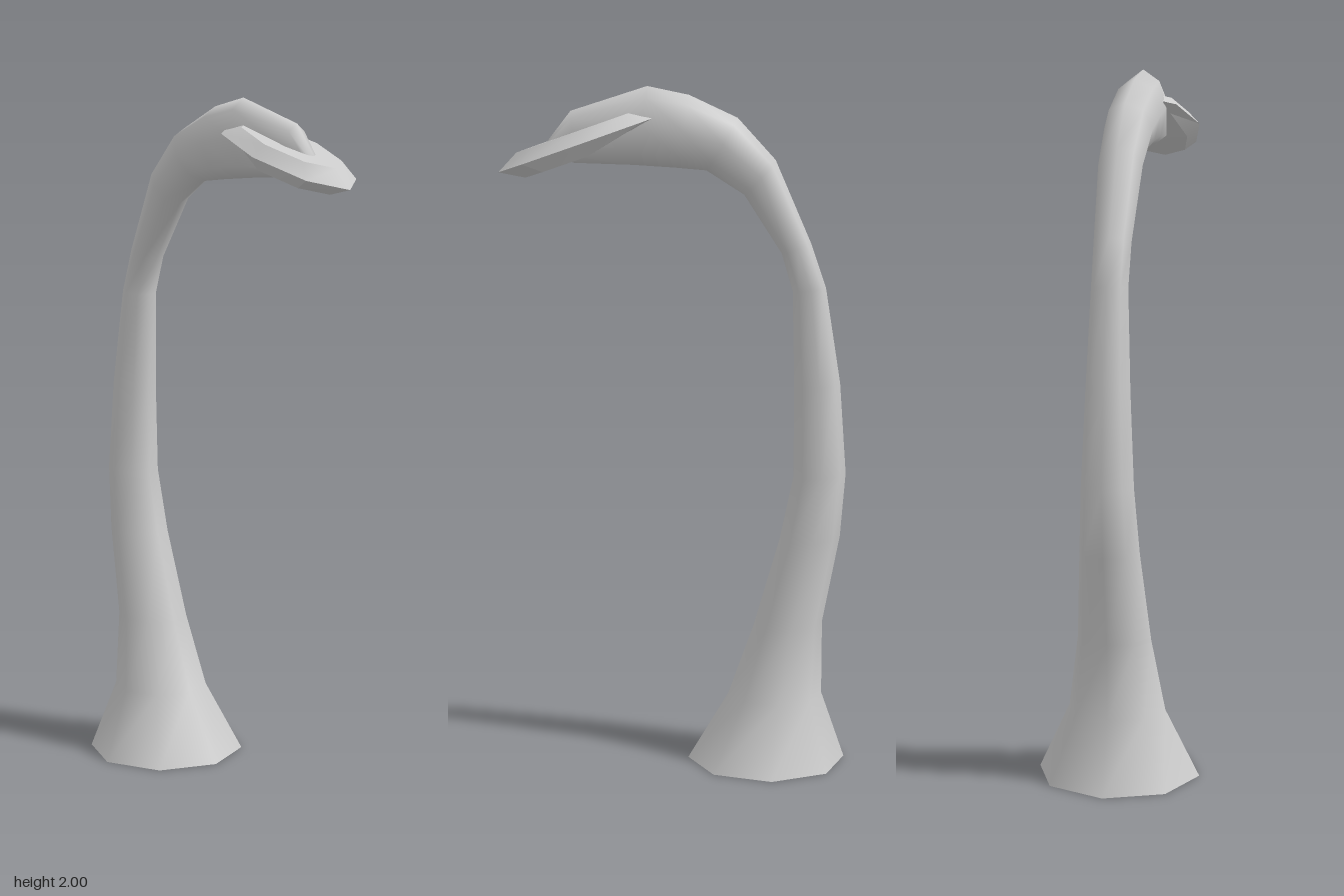
import * as THREE from 'three';
import { toCreasedNormals } from 'three/addons/utils/BufferGeometryUtils.js';

const SIDES = 8;

// Joins closed rings of points; caps close the first and last ring
function loft(rings, capStart, capEnd) {
  const pos = [], index = [];
  rings.forEach(ring => ring.forEach(p => pos.push(p.x, p.y, p.z)));
  for (let i = 0; i < rings.length - 1; i++) {
    for (let j = 0; j < SIDES; j++) {
      const k = (j + 1) % SIDES;
      const a = i * SIDES + j, b = i * SIDES + k;
      index.push(a, b, b + SIDES, a, b + SIDES, a + SIDES);
    }
  }
  const last = (rings.length - 1) * SIDES;
  for (let j = 1; j < SIDES - 1; j++) {
    if (capStart) index.push(0, j + 1, j);
    if (capEnd) index.push(last, last + j, last + j + 1);
  }
  const geo = new THREE.BufferGeometry();
  geo.setAttribute('position', new THREE.Float32BufferAttribute(pos, 3));
  geo.setIndex(index);
  geo.computeVertexNormals();
  return geo;
}

function makeRing(fn) {
  return Array.from({ length: SIDES }, (_, j) => fn(j / SIDES * Math.PI * 2));
}

export function createModel() {
  const group = new THREE.Group();
  const material = new THREE.MeshStandardMaterial({ color: 0xcccccc, side: THREE.DoubleSide });

  // Neck and head sections: back x, y, throat x, y, half width
  const sections = [
    [-0.51, 0, -0.04, 0, 0.235],
    [-0.44, 0.2, -0.16, 0.2, 0.14],
    [-0.44, 0.42, -0.235, 0.41, 0.106],
    [-0.49, 0.68, -0.31, 0.67, 0.086],
    [-0.505, 0.87, -0.35, 0.86, 0.075],
    [-0.485, 1.14, -0.35, 1.13, 0.063],
    [-0.44, 1.42, -0.343, 1.41, 0.052],
    [-0.395, 1.55, -0.31, 1.52, 0.053],
    [-0.29, 1.79, -0.2, 1.69, 0.063],
    [-0.18, 1.91, -0.09, 1.76, 0.07],
    [-0.04, 1.975, 0.0, 1.768, 0.071],
    [0.08, 2.0, 0.12, 1.776, 0.065],
    [0.3, 1.93, 0.29, 1.782, 0.042],
    [0.37, 1.84, 0.355, 1.80, 0.02],
  ];
  const neckRings = sections.map(([ax, ay, bx, by, w]) => makeRing(t => {
    const c = Math.cos(t) / 2;
    return new THREE.Vector3(
      (ax + bx) / 2 + c * (ax - bx),
      (ay + by) / 2 + c * (ay - by),
      Math.sin(t) * w);
  }));
  const neck = new THREE.Mesh(loft(neckRings, false, true), material);
  neck.name = 'neckAndHead';
  group.add(neck);

  // Flat bevelled bill: length radius, width radius, front and rear height
  const billLayers = [
    [0.19, 0.1, -0.04, -0.012],
    [0.258, 0.135, 0, 0],
    [0.19, 0.1, 0.036, 0.036],
  ];
  const billRings = billLayers.map(([r, w, front, rear]) => makeRing(t => {
    const c = Math.cos(t);
    return new THREE.Vector3(c * r, c < -0.1 ? rear : front, -Math.sin(t) * w);
  }));
  const bill = new THREE.Mesh(toCreasedNormals(loft(billRings, true, true), 0.5), material);
  bill.name = 'bill';
  bill.position.set(0.265, 1.84, 0);
  bill.rotation.z = -0.335;
  group.add(bill);

  return group;
}
